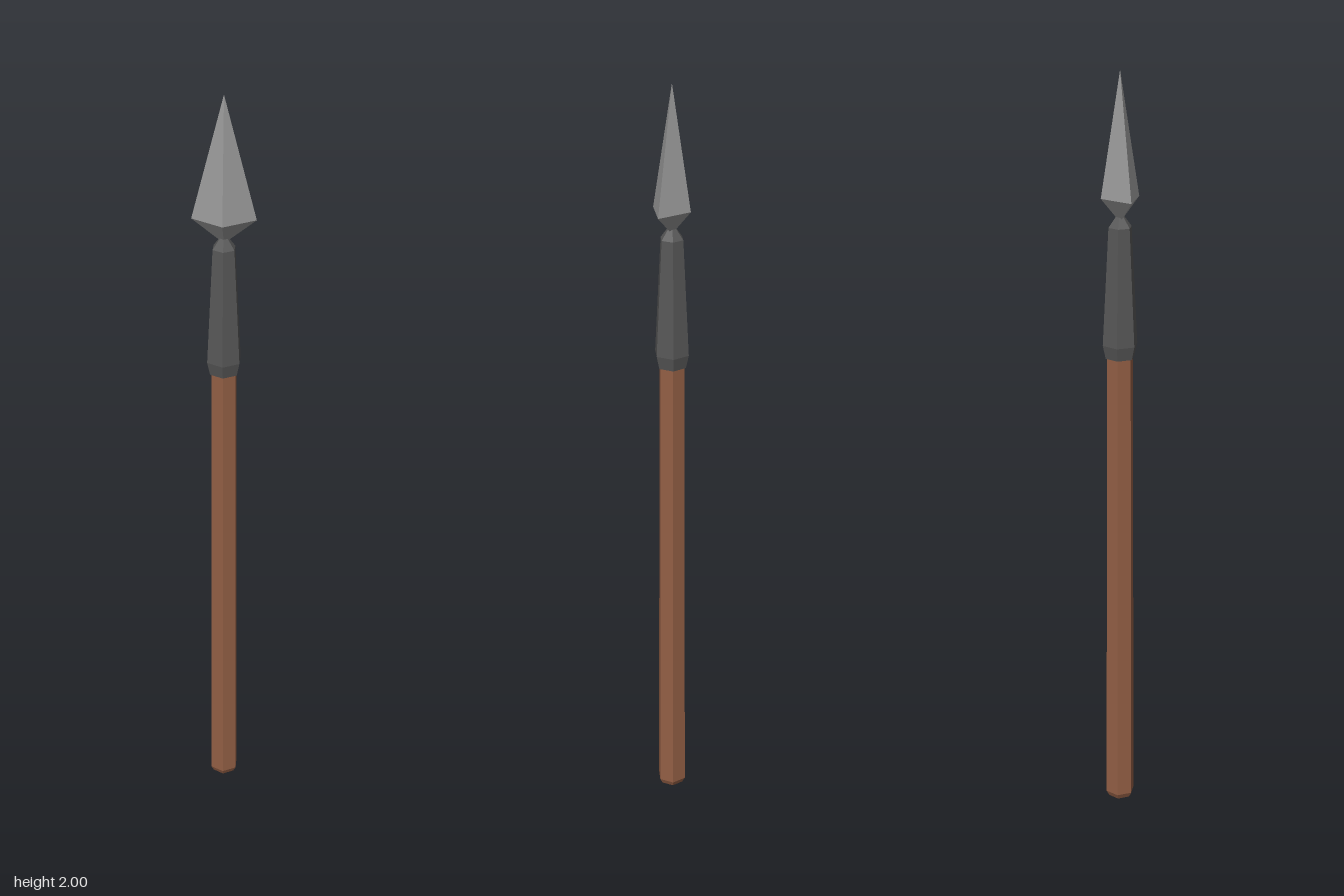
import * as THREE from 'three';

const material = (name, color) => {
  const m = new THREE.MeshStandardMaterial({ color, flatShading: true });
  m.name = name;
  return m;
};

// Faceted solid turned from [radius, height] pairs listed bottom to top
function turned(name, profile, sides, mat) {
  const points = profile.map(([r, y]) => new THREE.Vector2(r, y));
  const mesh = new THREE.Mesh(new THREE.LatheGeometry(points, sides), mat);
  mesh.name = name;
  return mesh;
}

export function createModel() {
  const wood = material('brown wood', 0x935f45);
  const iron = material('dark iron', 0x575757);
  const steel = material('grey steel', 0x989898);
  const spear = new THREE.Group();
  spear.name = 'spear';

  // Tapered six-sided shaft with a chamfered foot
  spear.add(turned('shaft', [[0, 0], [0.032, 0], [0.04, 0.015], [0.035, 1.29], [0, 1.29]], 6, wood));

  // Socket that grips the shaft and narrows into the neck
  spear.add(turned('socket', [
    [0, 1.27], [0.039, 1.27], [0.047, 1.305], [0.031, 1.61], [0.011, 1.637], [0, 1.637],
  ], 6, iron));

  // Four-sided blade, flattened front to back
  const blade = turned('blade', [[0, 1.622], [1, 1.685], [0, 2]], 4, steel);
  blade.geometry.scale(0.08, 1, 0.051);
  spear.add(blade);

  return spear;
}
